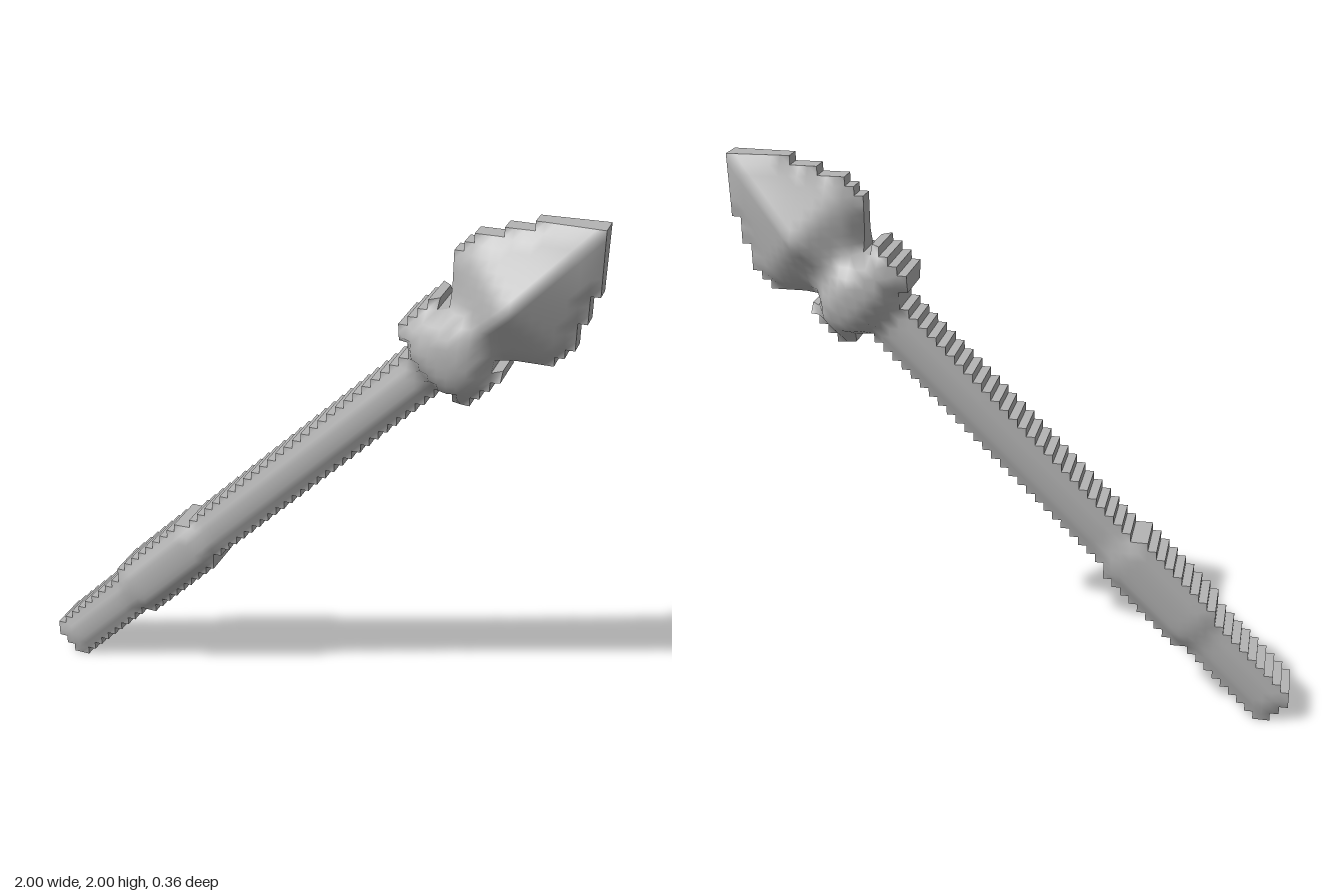
import * as THREE from 'three';

// Stepped silhouette on a 64 x 64 grid, swollen front and back into a solid.
const N = 64, H = 2 / N;

// Along the diagonal: position, half width, thickness at centre, thickness at rim, roundness
const PROFILE = [
  [-1.00, 0.052, 0.098, 0.080, 2],
  [-0.69, 0.052, 0.098, 0.080, 2],
  [-0.63, 0.068, 0.116, 0.083, 2.5],
  [-0.38, 0.068, 0.116, 0.083, 2.5],
  [-0.33, 0.052, 0.100, 0.080, 2],
  [0.465, 0.052, 0.105, 0.080, 2],
  [0.49, 0.114, 0.170, 0.095, 2.5],
  [0.52, 0.118, 0.182, 0.100, 2.5],
  [0.59, 0.118, 0.180, 0.095, 2.5],
  [0.612, 0.085, 0.155, 0.055, 2],
  [0.64, 0.110, 0.138, 0.035, 1.3],
  [0.695, 0.165, 0.165, 0.035, 1],
  [0.735, 0.172, 0.188, 0.035, 1],
  [0.825, 0.128, 0.140, 0.035, 1],
  [0.90, 0.100, 0.098, 0.032, 1],
  [1.00, 0.030, 0.045, 0.042, 1],
];

// Each part ends at this diagonal position
const PARTS = [['buttEnd', -0.67], ['grip', -0.35], ['shaft', 0.475], ['collar', 0.615], ['spearHead', 2]];

function sample(a) {
  const last = PROFILE.length - 1;
  if (a <= PROFILE[0][0]) return PROFILE[0];
  if (a >= PROFILE[last][0]) return PROFILE[last];
  const k = PROFILE.findIndex((row) => row[0] > a);
  const p = PROFILE[k - 1], q = PROFILE[k], t = (a - p[0]) / (q[0] - p[0]);
  return p.map((v, i) => v + (q[i] - v) * t);
}

// Grid coordinates to distance along and across the diagonal
const along = (i, j) => -1 + (i + j) * H / 2;
const across = (i, j) => Math.abs(j - i) * H / 2;

function filled(i, j) {
  if (i < 0 || j < 0 || i >= N || j >= N) return false;
  const a = along(i + 0.5, j + 0.5);
  return a > -0.96 && across(i, j) <= sample(a)[1];
}

function depth(i, j) {
  const [, half, centre, rim, power] = sample(along(i, j));
  const inside = filled(i, j) && filled(i - 1, j) && filled(i, j - 1) && filled(i - 1, j - 1);
  if (!inside) return rim;
  const u = Math.min(1, across(i, j) / (half + H / 4));
  return rim + (centre - rim) * (1 - u ** power);
}

export function createModel() {
  const group = new THREE.Group();
  const grey = new THREE.MeshStandardMaterial({ color: 0xb4b4b4 });
  grey.name = 'plainGrey';

  const positions = [];
  const indices = PARTS.map(() => []);
  const sheet = new Map();
  const add = (i, j, z) => positions.push(-1 + i * H, j * H, z) / 3 - 1;

  // Face vertices are shared so that the swollen sides shade smoothly
  const shared = (i, j, side) => {
    const key = `${i},${j},${side}`;
    if (!sheet.has(key)) sheet.set(key, add(i, j, side * depth(i, j)));
    return sheet.get(key);
  };
  const quad = (list, a, b, c, d, flip) => {
    if (flip) list.push(a, b, d, b, c, d);
    else list.push(a, b, c, a, c, d);
  };

  for (let i = 0; i < N; i++) {
    for (let j = 0; j < N; j++) {
      if (!filled(i, j)) continue;
      const list = indices[PARTS.findIndex((p) => along(i + 0.5, j + 0.5) < p[1])];
      const c = [[i, j], [i + 1, j], [i + 1, j + 1], [i, j + 1]];
      // Front and back faces
      quad(list, ...c.map((p) => shared(...p, 1)), false);
      quad(list, ...[c[0], c[3], c[2], c[1]].map((p) => shared(...p, -1)), false);
      // Stepped walls where the neighbouring cell is empty
      [[0, -1], [1, 0], [0, 1], [-1, 0]].forEach(([di, dj], k) => {
        if (filled(i + di, j + dj)) return;
        const p = c[k], q = c[(k + 1) % 4], zp = depth(...p), zq = depth(...q);
        quad(list, add(...p, zp), add(...p, -zp), add(...q, -zq), add(...q, zq), false);
      });
    }
  }

  // Normals are worked out over the whole body so the parts join without seams
  const body = new THREE.BufferGeometry();
  body.setAttribute('position', new THREE.Float32BufferAttribute(positions, 3));
  body.setIndex(indices.flat());
  body.computeVertexNormals();

  PARTS.forEach(([name], k) => {
    body.setIndex(indices[k]);
    const mesh = new THREE.Mesh(body.toNonIndexed(), grey);
    mesh.name = name;
    group.add(mesh);
  });
  return group;
}
